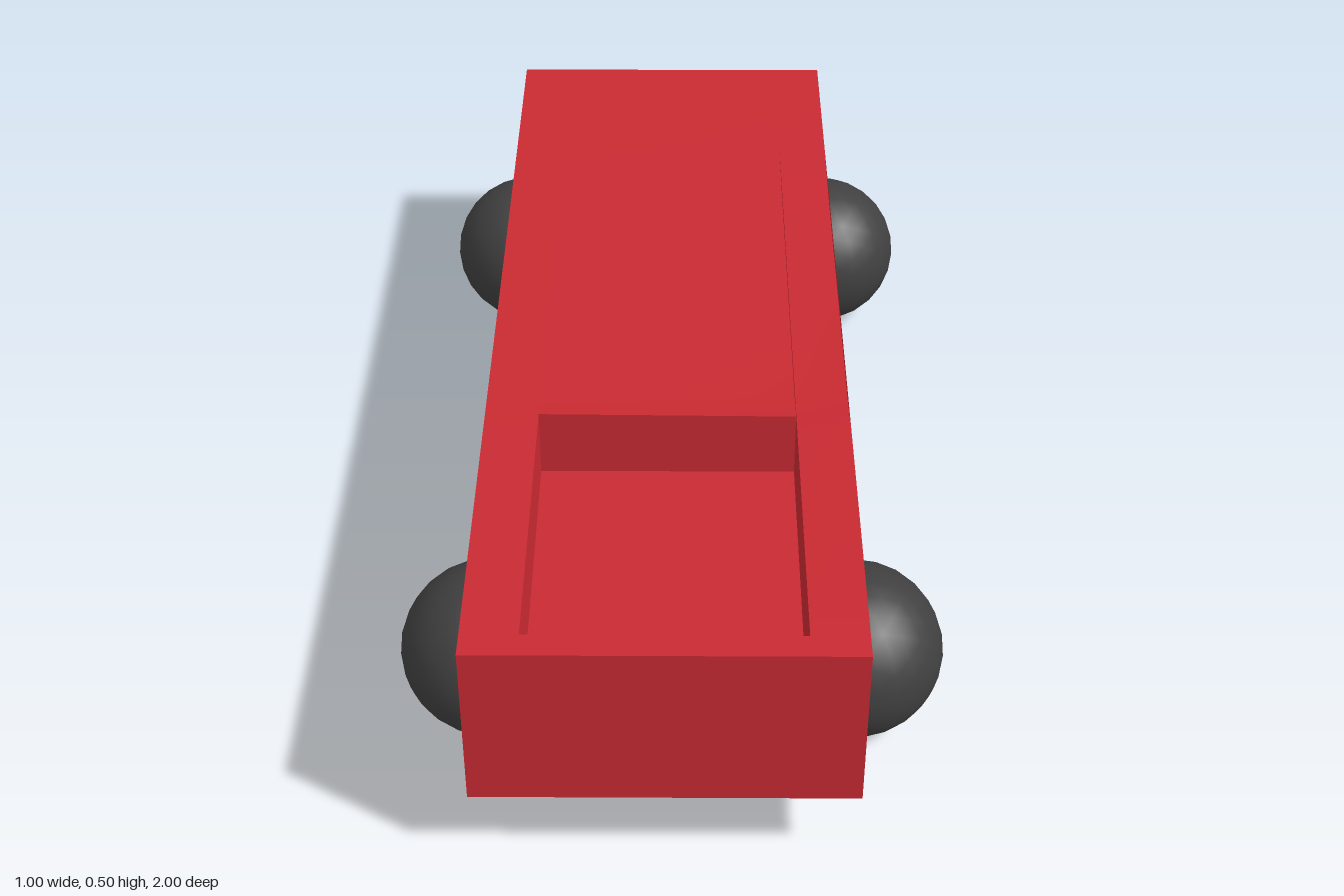
import * as THREE from 'three';
import { toCreasedNormals } from 'three/addons/utils/BufferGeometryUtils.js';

const mat = (color) => new THREE.MeshStandardMaterial({ color });
const AXLES = [0.625, -0.715];
const topY = (z) => 0.4875 + 0.0125 * z;
const bottomY = (z) => 0.1525 + 0.0125 * z;

// Shallow dip along the left upper edge, fading out across the width
function dip(x, z) {
  const along = Math.min(1, Math.max(0, (0.38 - z) / 0.1), Math.max(0, (z + 0.65) / 0.2));
  return 0.013 * along * Math.max(0, (x + 0.25) / 0.58);
}

// Lengthwise slice of the body between x0 and x1, optionally with the bed cut out
function bodySlice(x0, x1, withBed) {
  const s = new THREE.Shape();
  s.moveTo(-1, bottomY(-1));
  for (const z of [...AXLES].reverse()) {
    const r = 0.19, y = bottomY(z);
    s.lineTo(z - r, y);
    s.absarc(z, y + 0.005, r, Math.PI, 0, true);
    s.lineTo(z + r, y);
  }
  s.lineTo(1, bottomY(1));
  s.lineTo(1, topY(1));
  s.lineTo(0.95, topY(0.95));
  if (withBed) {
    s.lineTo(0.95, 0.356);
    s.lineTo(0.345, 0.356);
  } else s.lineTo(0.38, topY(0.38));
  for (const z of [0.345, 0.28, -0.45, -0.65, -1]) s.lineTo(z, topY(z));
  const g = new THREE.ExtrudeGeometry(s, { depth: x1 - x0, bevelEnabled: false, curveSegments: 20 });
  g.rotateY(-Math.PI / 2).translate(x1, 0, 0);
  const p = g.attributes.position;
  for (let i = 0; i < p.count; i++) {
    if (p.getY(i) > 0.45) p.setY(i, p.getY(i) - dip(p.getX(i), p.getZ(i)));
  }
  return toCreasedNormals(g, 0.4);
}

export function createModel() {
  const model = new THREE.Group();
  const red = mat(0xc92a32), rubber = mat(0x404040), steel = mat(0x707070);
  const add = (name, geometry, material, x = 0, y = 0, z = 0, parent = model) => {
    const m = new THREE.Mesh(geometry, material);
    m.name = name;
    m.position.set(x, y, z);
    parent.add(m);
    return m;
  };

  // Body: two side walls and a middle with the open bed
  const body = new THREE.Group();
  body.name = 'body';
  model.add(body);
  add('rightWall', bodySlice(-0.35, -0.25, false), red, 0, 0, 0, body);
  add('middleBody', bodySlice(-0.25, 0.23, true), red, 0, 0, 0, body);
  add('leftWall', bodySlice(0.23, 0.33, false), red, 0, 0, 0, body);

  // Ball wheels with axle and drive rod
  const ball = new THREE.IcosahedronGeometry(0.164, 4);
  const axle = new THREE.CylinderGeometry(0.02, 0.02, 0.6, 16).rotateZ(Math.PI / 2);
  const rod = new THREE.CylinderGeometry(0.02, 0.02, 0.19, 16).rotateX(Math.PI / 2);
  AXLES.forEach((z, i) => {
    const end = i ? 'rear' : 'front';
    for (const side of [-1, 1]) {
      add(end + (side > 0 ? 'Left' : 'Right') + 'Wheel', ball, rubber, side * 0.337, 0.164, z);
    }
    add(end + 'Axle', axle, steel, 0, 0.27, z);
    add(end + 'DriveRod', rod, steel, 0, 0.27, z + 0.08);
  });

  // Rear oval window with a grey rim
  const disc = (rx, ry) => new THREE.CylinderGeometry(1, 1, 0.004, 12)
    .rotateX(Math.PI / 2).scale(rx, ry, 1);
  add('windowRim', disc(0.145, 0.06), mat(0x999b98), -0.03, 0.365, -0.999);
  add('windowGlass', disc(0.118, 0.044), mat(0x5f90aa), -0.03, 0.365, -1.0);
  return model;
}
